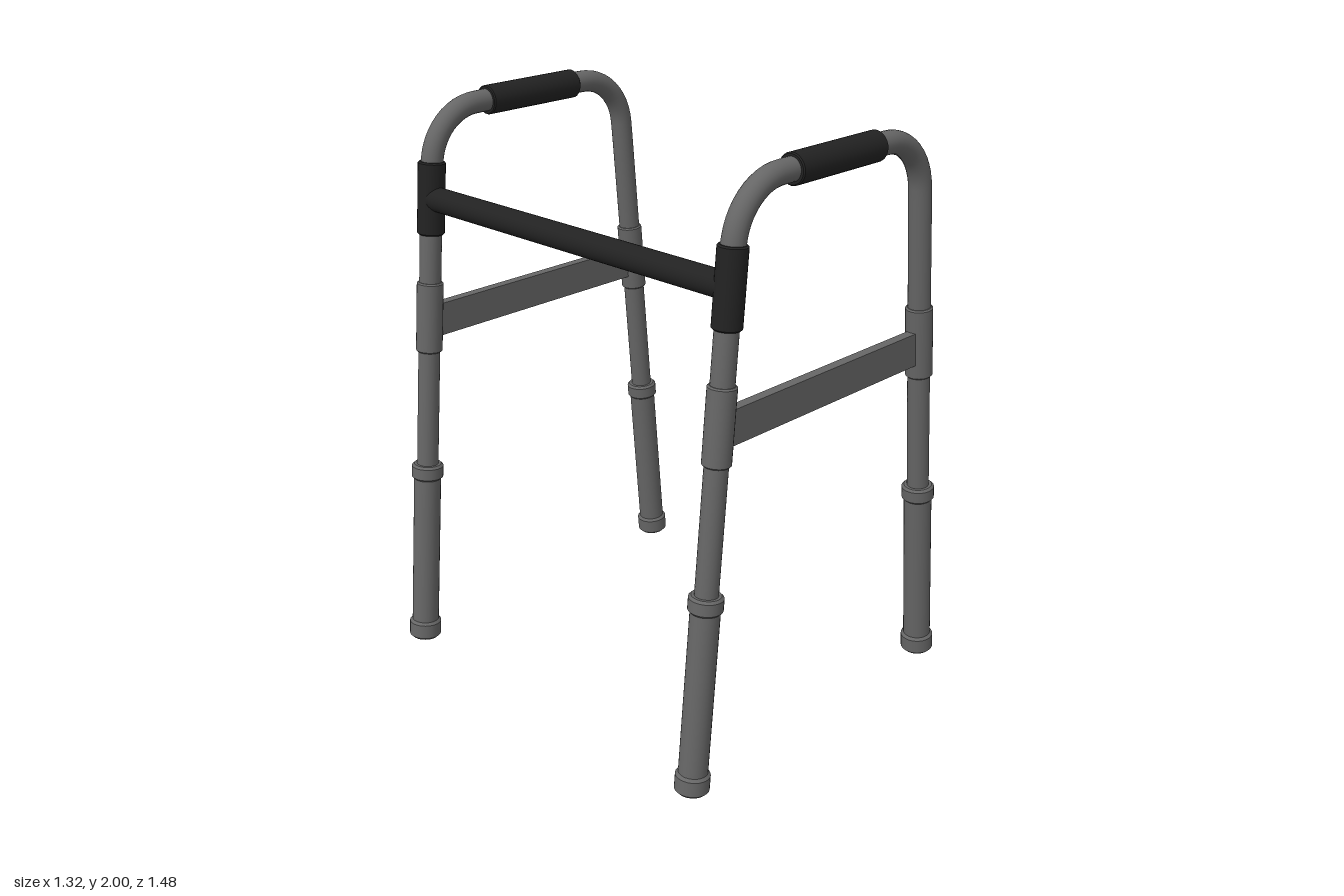
import * as THREE from 'three';

const TILT = 0.0885;                       // outward lean of the legs
const legX = y => 0.603 - TILT * y;
const SIDE_Z = 0.683;

export function createModel() {
  const metal = new THREE.MeshStandardMaterial({ color: 0x666666 });
  metal.name = 'greyMetal';
  const rubber = new THREE.MeshStandardMaterial({ color: 0x222222 });
  rubber.name = 'blackRubber';

  const mesh = (name, geometry, material, parent) => {
    const m = new THREE.Mesh(geometry, material);
    m.name = name;
    parent.add(m);
    return m;
  };

  // Solid of revolution with small bevels at both ends, centred on its length
  const sleeveGeometry = (r, length, bevel) => {
    const h = length / 2;
    const corners = [[0, -h], [r - bevel, -h], [r, -h + bevel], [r, h - bevel], [r - bevel, h], [0, h]];
    // repeat inner corners so the edges stay crisp
    const points = corners.flatMap(([x, y], i) => {
      const p = new THREE.Vector2(x, y);
      return i > 0 && i < 5 ? [p, p.clone()] : [p];
    });
    return new THREE.LatheGeometry(points, 28);
  };

  // Sleeve around a leg between two heights
  const onLeg = (name, side, y0, y1, r, material, parent, bevel = 0.005) => {
    const length = (y1 - y0) * Math.hypot(1, TILT);
    const m = mesh(name, sleeveGeometry(r, length, bevel), material, parent);
    const y = (y0 + y1) / 2;
    m.position.set(side * legX(y), y, 0);
    m.rotation.z = side * Math.atan(TILT);
    return m;
  };

  // Bent tube: leg, corner arc, top rail, corner arc, leg
  const bendR = 0.196, bendX = 0.25, topY = 1.95;
  const lean = Math.atan(TILT);
  const arc = [];
  for (let i = 0; i <= 14; i++) {
    const a = lean + (Math.PI / 2 - lean) * i / 14;
    arc.push(new THREE.Vector3(bendX + bendR * Math.cos(a), topY - bendR + bendR * Math.sin(a), 0));
  }
  const half = [];
  for (let i = 0; i < 4; i++) {
    const y = 0.6 + i * 0.3;
    half.push(new THREE.Vector3(legX(y), y, 0));
  }
  half.push(...arc);
  const mirrored = half.map(p => new THREE.Vector3(-p.x, p.y, 0)).reverse();
  const path = new THREE.CatmullRomCurve3([...half, ...mirrored], false, 'centripetal');

  const model = new THREE.Group();
  model.name = 'walkingFrame';

  for (const [z, label] of [[SIDE_Z, 'front'], [-SIDE_Z, 'back']]) {
    const frame = new THREE.Group();
    frame.name = label + 'SideFrame';
    frame.position.z = z;
    model.add(frame);

    mesh('bentTube', new THREE.TubeGeometry(path, 140, 0.038, 24), metal, frame);

    // Hand grip on the top rail
    const grip = mesh('handGrip', sleeveGeometry(0.05, 0.4, 0.004), rubber, frame);
    grip.position.y = topY;
    grip.rotation.z = Math.PI / 2;

    // Flat brace between the legs
    const brace = mesh('sideBrace', new THREE.BoxGeometry(0.95, 0.116, 0.035), metal, frame);
    brace.position.y = 1.22;

    for (const side of [1, -1]) {
      onLeg('braceClamp', side, 1.112, 1.362, 0.046, metal, frame);
      onLeg('lowerLeg', side, 0.05, 0.66, 0.048, metal, frame);
      onLeg('legCollar', side, 0.636, 0.692, 0.056, metal, frame, 0.008);
      onLeg('foot', side, 0.009, 0.078, 0.057, metal, frame, 0.009);
    }
    // Sleeve holding the cross bar
    onLeg('crossBarSleeve', -1, 1.53, 1.78, 0.047, rubber, frame);
  }

  // Cross bar joining the two side frames
  const bar = mesh('crossBar', new THREE.CylinderGeometry(0.042, 0.042, 2 * SIDE_Z, 28), rubber, model);
  bar.position.set(-legX(1.655), 1.655, 0);
  bar.rotation.x = Math.PI / 2;

  return model;
}
